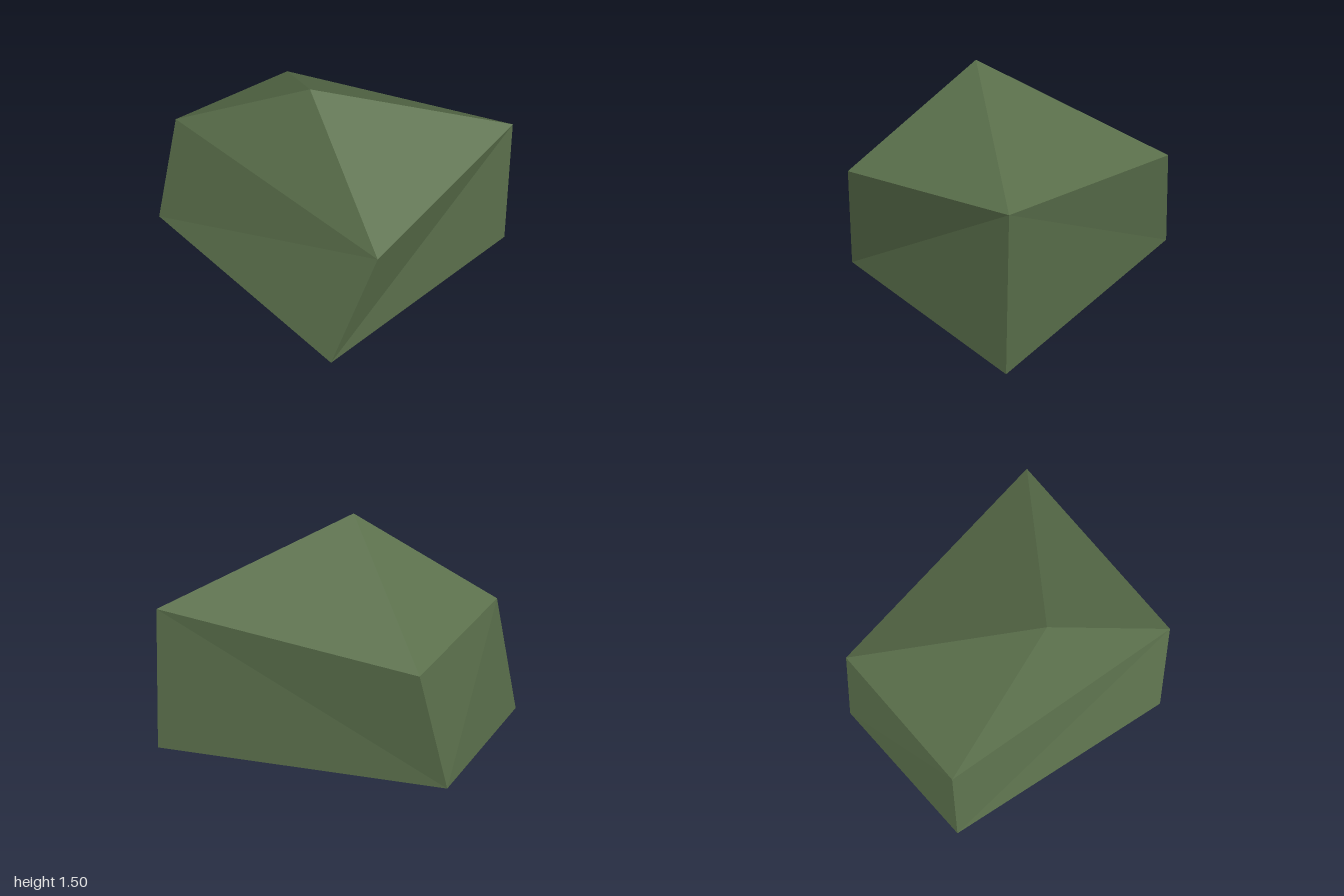
import * as THREE from 'three';

// Faceted boulder: an uneven lower ring, an uneven upper ring and a peak
const lower = [[-0.88, 0.04, 0.81], [0.87, 0, 1], [0.51, 0.07, -1], [-0.69, 0.15, -0.95]];
const upper = [[-0.64, 0.84, 0.96], [0.85, 0.99, 0.95], [0.6, 0.8, -0.84], [-0.54, 0.98, -0.83]];
const peak = [-0.28, 1.5, 0.14];

function facets(triangles) {
  const geometry = new THREE.BufferGeometry();
  geometry.setAttribute('position', new THREE.Float32BufferAttribute(triangles.flat(2), 3));
  geometry.computeVertexNormals();
  return geometry;
}

export function createModel() {
  const group = new THREE.Group();
  group.name = 'boulder';
  const mossGreen = new THREE.MeshStandardMaterial({ color: 0x5a6f4b, flatShading: true });
  mossGreen.name = 'mossGreen';

  const sides = [], crown = [];
  for (let i = 0; i < 4; i++) {
    const j = (i + 1) % 4;
    const a = lower[i], b = lower[j], c = upper[j], d = upper[i];
    // The +x side folds along the other diagonal
    if (i === 1) sides.push([a, b, d], [b, c, d]);
    else sides.push([a, b, c], [a, c, d]);
    crown.push([d, c, peak]);
  }
  const [p, q, r, s] = lower;
  const underside = [[p, r, q], [p, s, r]];

  for (const [name, triangles] of Object.entries({ sides, crown, underside })) {
    const mesh = new THREE.Mesh(facets(triangles), mossGreen);
    mesh.name = name;
    group.add(mesh);
  }
  return group;
}
